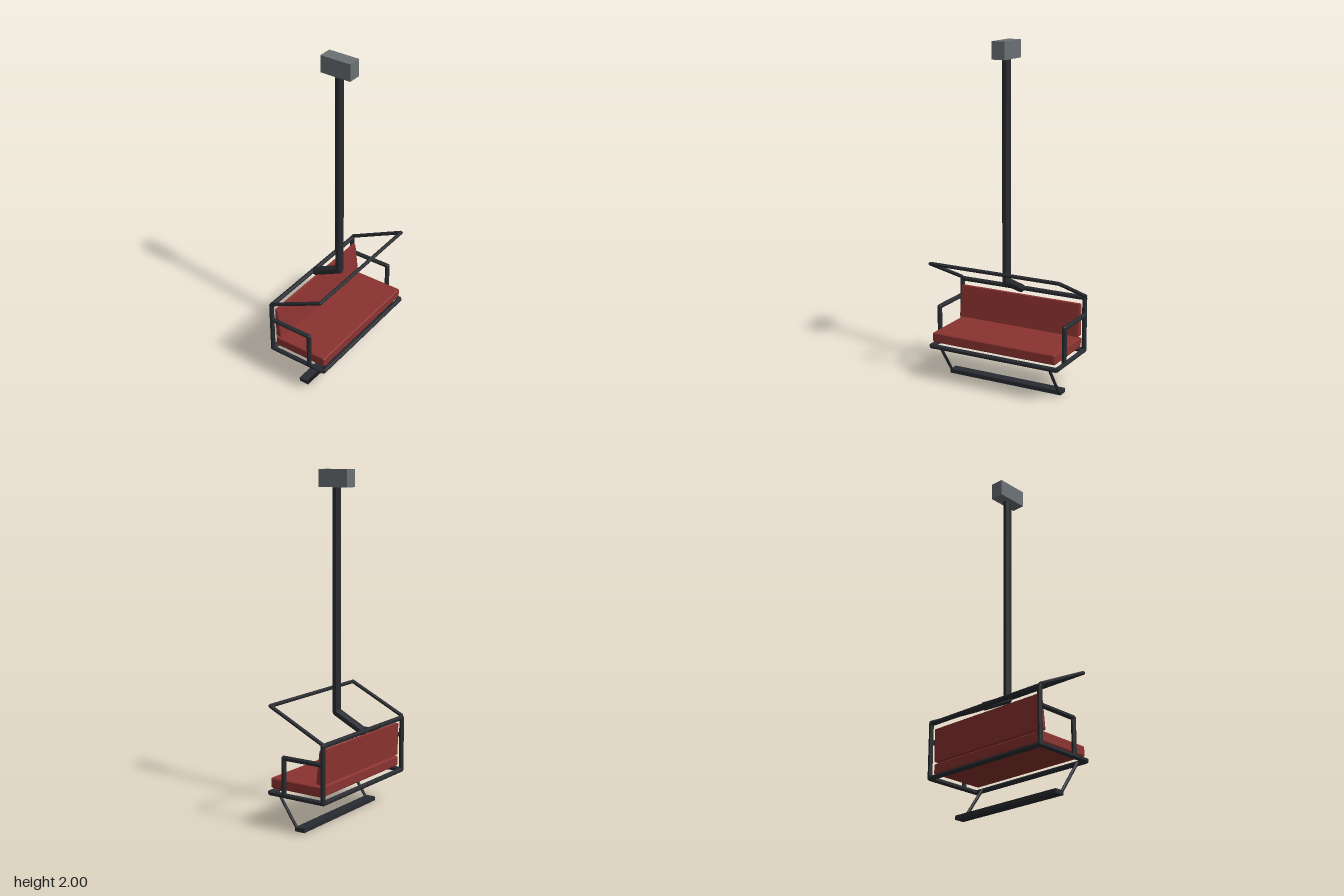
import * as THREE from 'three';

const steel = new THREE.MeshStandardMaterial({ color: 0x282b30, flatShading: true });
const red = new THREE.MeshStandardMaterial({ color: 0x8b3330, flatShading: true });
const grey = new THREE.MeshStandardMaterial({ color: 0x6b7074, flatShading: true });

const V = (x, y, z) => new THREE.Vector3(x, y, z);
const UP = V(0, 1, 0);

function add(parent, name, geometry, material) {
  const mesh = new THREE.Mesh(geometry, material);
  mesh.name = name;
  parent.add(mesh);
  return mesh;
}

// Straight octagonal tubes through the points, with a small ball at each inner joint
function pipe(parent, name, points, radius) {
  const group = new THREE.Group();
  group.name = name;
  parent.add(group);
  for (let i = 0; i < points.length - 1; i++) {
    const dir = points[i + 1].clone().sub(points[i]);
    const geo = new THREE.CylinderGeometry(radius, radius, dir.length(), 8);
    geo.rotateY(Math.PI / 8);
    const tube = add(group, name + 'Tube', geo, steel);
    tube.position.copy(points[i]).addScaledVector(dir, 0.5);
    tube.quaternion.setFromUnitVectors(UP, dir.normalize());
    if (i > 0) {
      const joint = add(group, name + 'Joint', new THREE.SphereGeometry(radius, 8, 6), steel);
      joint.position.copy(points[i]);
    }
  }
  return group;
}

// Side profile extruded across the bench, with chamfered edges
function cushion(parent, name, profile, width) {
  const bevel = 0.008;
  const shape = new THREE.Shape(profile.map(([x, y]) => new THREE.Vector2(x, y)));
  const geo = new THREE.ExtrudeGeometry(shape, {
    depth: width - 2 * bevel, bevelEnabled: true, bevelSize: bevel,
    bevelThickness: bevel, bevelOffset: -bevel, bevelSegments: 2,
  });
  geo.translate(0, 0, -width / 2 + bevel);
  return add(parent, name, geo, red);
}

// Rectangle with cut corners as a profile
function cutRect(x0, y0, x1, y1, c) {
  return [[x0 + c, y0], [x1 - c, y0], [x1, y0 + c], [x1, y1 - c],
    [x1 - c, y1], [x0 + c, y1], [x0, y1 - c], [x0, y0 + c]];
}

export function createModel() {
  const model = new THREE.Group();
  model.name = 'chairlift';

  // Cable grip and hanger
  add(model, 'cableGrip', new THREE.BoxGeometry(0.19, 0.1, 0.08), grey).position.set(0.006, 1.95, 0);
  pipe(model, 'hanger', [V(0.005, 1.92, 0), V(0.005, 0.62, 0), V(-0.175, 0.53, 0)], 0.025);

  // Back frame loop and seat frame
  const xb = -0.185, xf = 0.18, yb = 0.21, yt = 0.53, w = 0.41;
  pipe(model, 'backFrame', [V(xb, yb, 0), V(xb, yb, w), V(xb, yt, w),
    V(xb, yt, -w), V(xb, yb, -w), V(xb, yb, 0)], 0.014);
  pipe(model, 'frontRail', [V(xf, yb, -w), V(xf, yb, w)], 0.014);

  for (const s of [-1, 1]) {
    const side = s > 0 ? 'left' : 'right';
    pipe(model, side + 'SeatRail', [V(xb, yb, s * w), V(xf, yb, s * w)], 0.014);
    pipe(model, side + 'Armrest', [V(xb, 0.425, s * w), V(0.08, 0.425, s * w), V(0.08, yb, s * w)], 0.014);
    pipe(model, side + 'FootrestLeg', [V(0.168, 0.21, s * 0.355), V(0.032, 0.015, s * 0.355)], 0.009);
  }

  // Raised safety bar
  pipe(model, 'safetyBar', [V(xb, 0.54, -0.415), V(0.167, 0.71, -0.415),
    V(0.167, 0.71, 0.415), V(xb, 0.54, 0.415)], 0.011);

  // Footrest
  add(model, 'footrest', new THREE.BoxGeometry(0.062, 0.024, 0.736), steel).position.set(0.005, 0.012, 0);

  // Cushions
  cushion(model, 'seat', cutRect(-0.168, 0.235, 0.18, 0.295, 0.006), 0.8);
  cushion(model, 'backrest', [[-0.168, 0.305], [-0.128, 0.305], [-0.15, 0.497], [-0.172, 0.497]], 0.8);

  return model;
}
